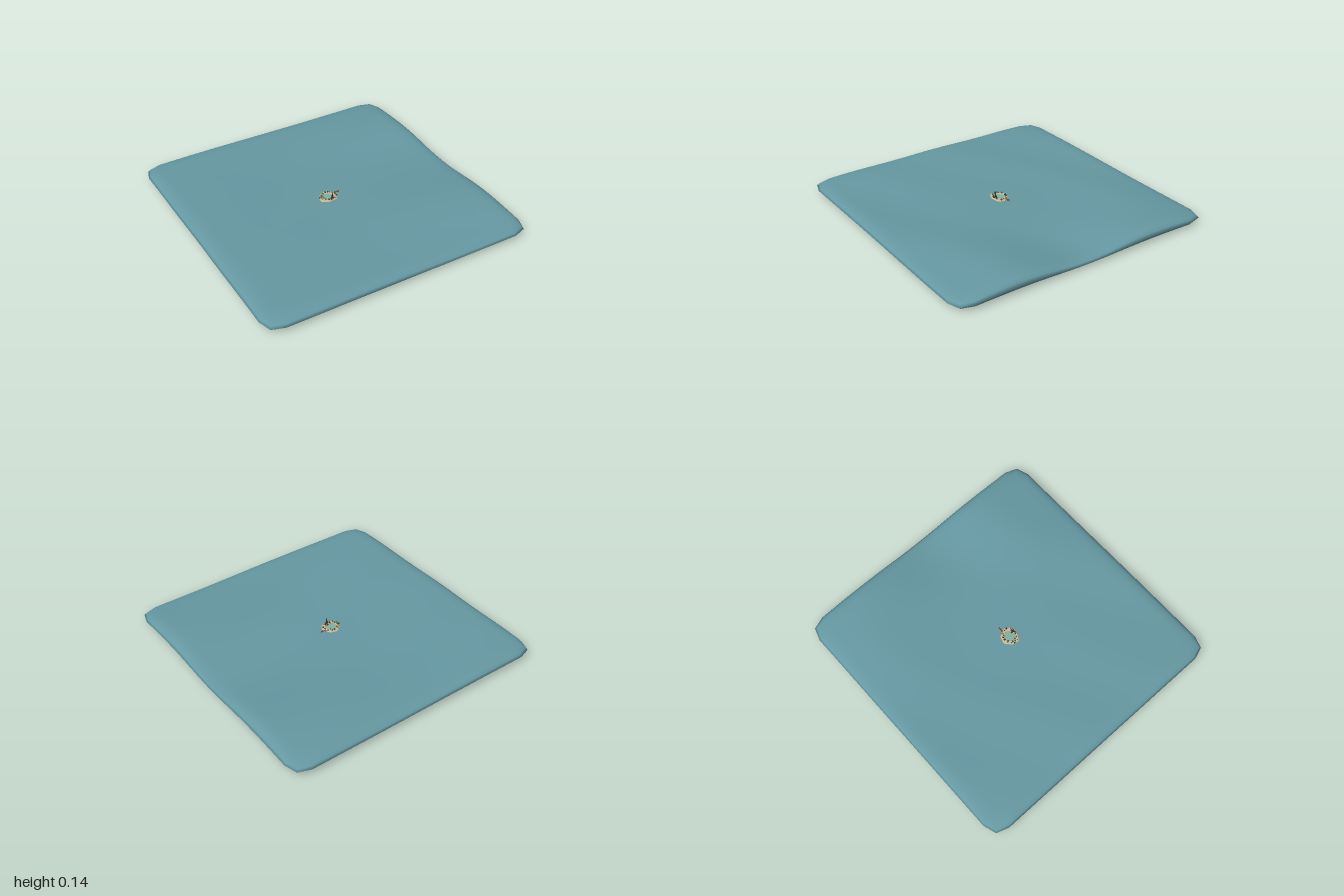
import * as THREE from 'three';

const paint = (color, flatShading = true) => new THREE.MeshStandardMaterial({ color, flatShading });
const SAND = paint(0xc9b695), ROCK = paint(0x3f352c), STONE = paint(0x857a6a);
const LEAF = paint(0x35684c), WOOD = paint(0x6b4c32), LAGOON = paint(0x86b0a0);

// Height of the rolling water surface
function swell(x, z) {
  const right = THREE.MathUtils.smoothstep(x, -0.1, 1);
  const left = THREE.MathUtils.smoothstep(-x, 0, 0.85);
  return 0.068
    + right * (0.005 - 0.021 * Math.cos(Math.PI * z / 0.58))
    + left * 0.013 * Math.cos(z * 1.4)
    + 0.003 * Math.sin(4.5 * x + 9 * z) * Math.min(1, Math.hypot(x, z) * 2);
}

// Square outline with clipped corners, running from +x towards +z
function slabOutline(steps = 28) {
  const points = [];
  for (let q = 0; q < 4; q++) {
    const side = [];
    for (let i = 0; i <= steps; i++) side.push([1, -0.88 + 1.76 * i / steps]);
    side.push([0.97, 0.97]);
    for (let [x, z] of side) {
      for (let k = 0; k < q; k++) [x, z] = [-z, x];
      points.push([x, z]);
    }
  }
  return points;
}

// Slab of sea: loops from the middle of the base, round the rim, to the middle of the top
function makeSea() {
  const outline = slabOutline();
  // [scale, share of the local swell height]
  const layers = [[0, 0], [0.5, 0], [0.9, 0.02], [0.955, 0.1], [0.985, 0.27], [1, 0.55],
    [0.988, 0.77], [0.965, 0.91], [0.93, 0.985]];
  for (let i = 18; i >= 0; i--) layers.push([0.89 * i / 18, 1]);
  const position = [], index = [], n = outline.length;
  layers.forEach(([s, share], j) => {
    outline.forEach(([x, z], i) => {
      position.push(x * s, share * swell(x * s, z * s), z * s);
      if (j === layers.length - 1) return;
      const a = j * n + i, b = j * n + (i + 1) % n, c = a + n, d = b + n;
      index.push(a, c, b, b, c, d);
    });
  });
  const geometry = new THREE.BufferGeometry();
  geometry.setAttribute('position', new THREE.Float32BufferAttribute(position, 3));
  geometry.setIndex(index);
  geometry.computeVertexNormals();
  return new THREE.Mesh(geometry, paint(0x6699a3, false));
}

function add(parent, name, geometry, material, x, y, z) {
  const mesh = new THREE.Mesh(geometry, material);
  mesh.name = name;
  mesh.position.set(x, y, z);
  parent.add(mesh);
  return mesh;
}

// Small tree: trunk and two leafy cones
function makeTree(x, z, size) {
  const tree = new THREE.Group();
  tree.name = 'tree';
  tree.position.set(x, 0.01, z);
  tree.scale.setScalar(size);
  add(tree, 'trunk', new THREE.CylinderGeometry(0.0015, 0.002, 0.01, 5), WOOD, 0, 0.004, 0);
  add(tree, 'lowerLeaves', new THREE.ConeGeometry(0.009, 0.011, 6), LEAF, 0, 0.011, 0);
  add(tree, 'upperLeaves', new THREE.ConeGeometry(0.006, 0.01, 6), LEAF, 0, 0.017, 0);
  return tree;
}

function makeIsland() {
  const island = new THREE.Group();
  island.name = 'island';
  island.position.set(-0.01, 0.066, 0.015);

  // Sandy ring with an uneven outline
  const ring = new THREE.TorusGeometry(0.053, 0.018, 6, 28).rotateX(Math.PI / 2);
  const p = ring.attributes.position;
  for (let i = 0; i < p.count; i++) {
    const x = p.getX(i), z = p.getZ(i), a = Math.atan2(z, x);
    const wobble = 1 + 0.06 * Math.sin(3 * a) + 0.04 * Math.cos(7 * a);
    p.setXYZ(i, x * wobble, p.getY(i) * 0.6, z * wobble * 0.88);
  }
  ring.computeVertexNormals();
  add(island, 'beach', ring, SAND, 0, 0, 0);
  add(island, 'lagoon', new THREE.CylinderGeometry(0.045, 0.045, 0.008, 20), LAGOON, 0, 0.001, 0);

  // Tall pointed rock with lower crags beside it
  const crags = [[0.012, 0.04, 0.009, 0.072], [0.0, 0.045, 0.01, 0.034],
    [0.026, 0.037, 0.01, 0.028], [-0.015, 0.038, 0.009, 0.022], [0.012, 0.03, 0.011, 0.026]];
  crags.forEach(([x, z, r, h], i) => {
    add(island, 'crag', new THREE.ConeGeometry(r, h, 5), ROCK, x, h / 2, z).rotation.y = i;
  });

  // Boulders round the shore
  for (let i = 0; i < 13; i++) {
    const a = i * 2.4, r = 0.056 + 0.006 * Math.sin(i * 5);
    const stone = add(island, 'boulder', new THREE.IcosahedronGeometry(0.005 + 0.0015 * (i % 3), 0),
      i % 2 ? STONE : ROCK, r * Math.cos(a), 0.01, r * 0.88 * Math.sin(a));
    stone.rotation.set(i, 2 * i, 0);
  }

  // Trees, mostly on the model's right
  const trees = [[-0.045, -0.012, 0.9], [-0.04, 0.012, 0.8], [-0.052, 0.003, 0.7],
    [-0.022, -0.036, 0.8], [0.03, -0.03, 0.6], [-0.035, 0.03, 0.7]];
  for (const t of trees) island.add(makeTree(...t));

  // Jetty on the model's left
  const jetty = new THREE.Group();
  jetty.name = 'jetty';
  add(jetty, 'deck', new THREE.BoxGeometry(0.042, 0.002, 0.009), WOOD, 0.078, 0.01, -0.016);
  for (const x of [0.068, 0.082, 0.096]) for (const side of [-1, 1]) {
    add(jetty, 'post', new THREE.CylinderGeometry(0.001, 0.001, 0.016, 5), WOOD, x, 0.007, -0.016 + side * 0.004);
  }
  island.add(jetty);
  return island;
}

export function createModel() {
  const model = new THREE.Group();
  model.name = 'islandInSea';
  const sea = makeSea();
  sea.name = 'sea';
  model.add(sea, makeIsland());
  return model;
}
